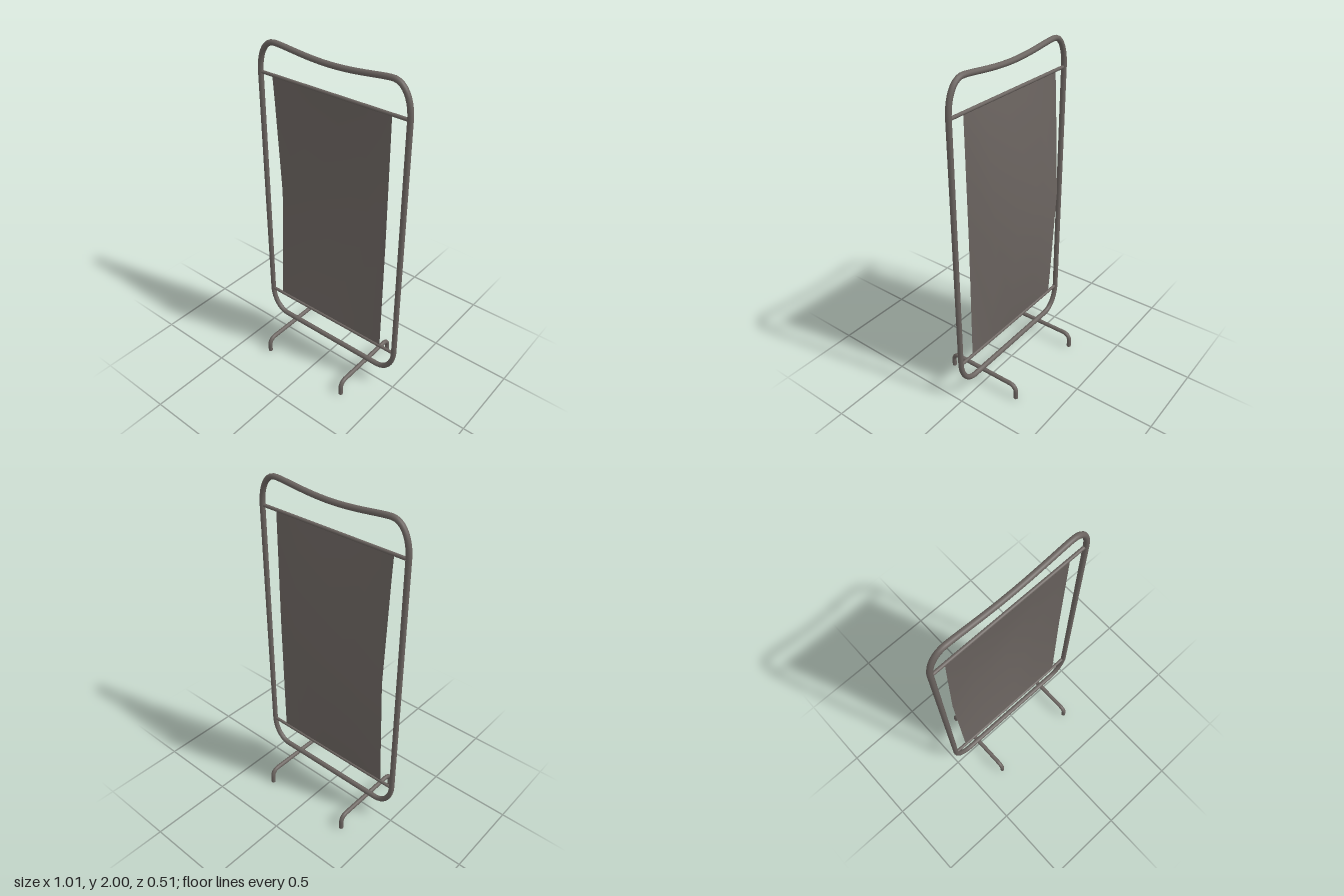
import * as THREE from 'three';

const V = (x, y, z = 0) => new THREE.Vector3(x, y, z);

export function createModel() {
  const model = new THREE.Group();
  const metal = new THREE.MeshStandardMaterial({ color: 0x6b6460 });
  metal.name = 'warm grey metal';
  const fabric = new THREE.MeshStandardMaterial({ color: 0x6b6460, side: THREE.DoubleSide });
  fabric.name = 'warm grey fabric';

  const add = (name, geometry, material, parent = model) => {
    const mesh = new THREE.Mesh(geometry, material);
    mesh.name = name;
    parent.add(mesh);
    return mesh;
  };

  // Path through straight lines (2 points) and Bezier bends (4 points)
  const path = (pieces) => {
    const curve = new THREE.CurvePath();
    for (const p of pieces) {
      curve.add(p.length === 2 ? new THREE.LineCurve3(...p) : new THREE.CubicBezierCurve3(...p));
    }
    return curve;
  };

  // Closed frame of bent tube with a dipped top rail
  const X = 0.49, topY = 1.984, lowY = 0.121;
  const frame = path([
    [V(-0.37, lowY), V(0.37, lowY)],
    [V(0.37, lowY), V(0.44, lowY), V(X, 0.2), V(X, 0.29)],
    [V(X, 0.29), V(X, 1.8)],
    [V(X, 1.8), V(X, 1.9), V(0.45, topY), V(0.38, topY)],
    [V(0.38, topY), V(0.31, topY), V(0.17, 1.955), V(0, 1.955)],
    [V(0, 1.955), V(-0.17, 1.955), V(-0.31, topY), V(-0.38, topY)],
    [V(-0.38, topY), V(-0.45, topY), V(-X, 1.9), V(-X, 1.8)],
    [V(-X, 1.8), V(-X, 0.29)],
    [V(-X, 0.29), V(-X, 0.2), V(-0.44, lowY), V(-0.37, lowY)],
  ]);
  add('frame', new THREE.TubeGeometry(frame, 240, 0.016, 12, true), metal);

  // Cross rods holding the fabric
  for (const [name, y] of [['upperRod', 1.8], ['lowerRod', 0.28]]) {
    const rod = add(name, new THREE.CylinderGeometry(0.01, 0.01, 2 * X, 12), metal);
    rod.rotation.z = Math.PI / 2;
    rod.position.y = y;
  }

  // Fabric panel, billowing backwards
  const columns = [[-0.405, 0.04], [-0.22, 0.077], [0.04, 0.083], [0.22, 0.065], [0.385, 0.005]];
  const rows = [[1.8, 0], [1.65, 0.24], [1.04, 1], [0.43, 0.24], [0.28, 0]];
  const cloth = new THREE.PlaneGeometry(1, 1, columns.length - 1, rows.length - 1);
  rows.forEach(([y, pull], r) => columns.forEach(([x, depth], c) => {
    cloth.attributes.position.setXYZ(r * columns.length + c, x, y, -depth * pull);
  }));
  cloth.computeVertexNormals();
  add('fabricPanel', cloth, fabric);

  // Two bent-tube feet
  const Z = 0.243, H = 0.093, B = 0.045, K = 0.02, R = 0.0135;
  const foot = path([
    [V(0, 0, Z), V(0, H - B, Z)],
    [V(0, H - B, Z), V(0, H - K, Z), V(0, H, Z - K), V(0, H, Z - B)],
    [V(0, H, Z - B), V(0, H, B - Z)],
    [V(0, H, B - Z), V(0, H, K - Z), V(0, H - K, -Z), V(0, H - B, -Z)],
    [V(0, H - B, -Z), V(0, 0, -Z)],
  ]);
  for (const [name, x] of [['rightFoot', -0.305], ['leftFoot', 0.283]]) {
    const group = new THREE.Group();
    group.name = name;
    group.position.x = x;
    model.add(group);
    add('footTube', new THREE.TubeGeometry(foot, 72, R, 12), metal, group);
    for (const s of [-1, 1]) {
      const cap = add('footCap', new THREE.CircleGeometry(R, 12), metal, group);
      cap.rotation.x = Math.PI / 2;
      cap.position.z = s * Z;
    }
  }
  return model;
}
